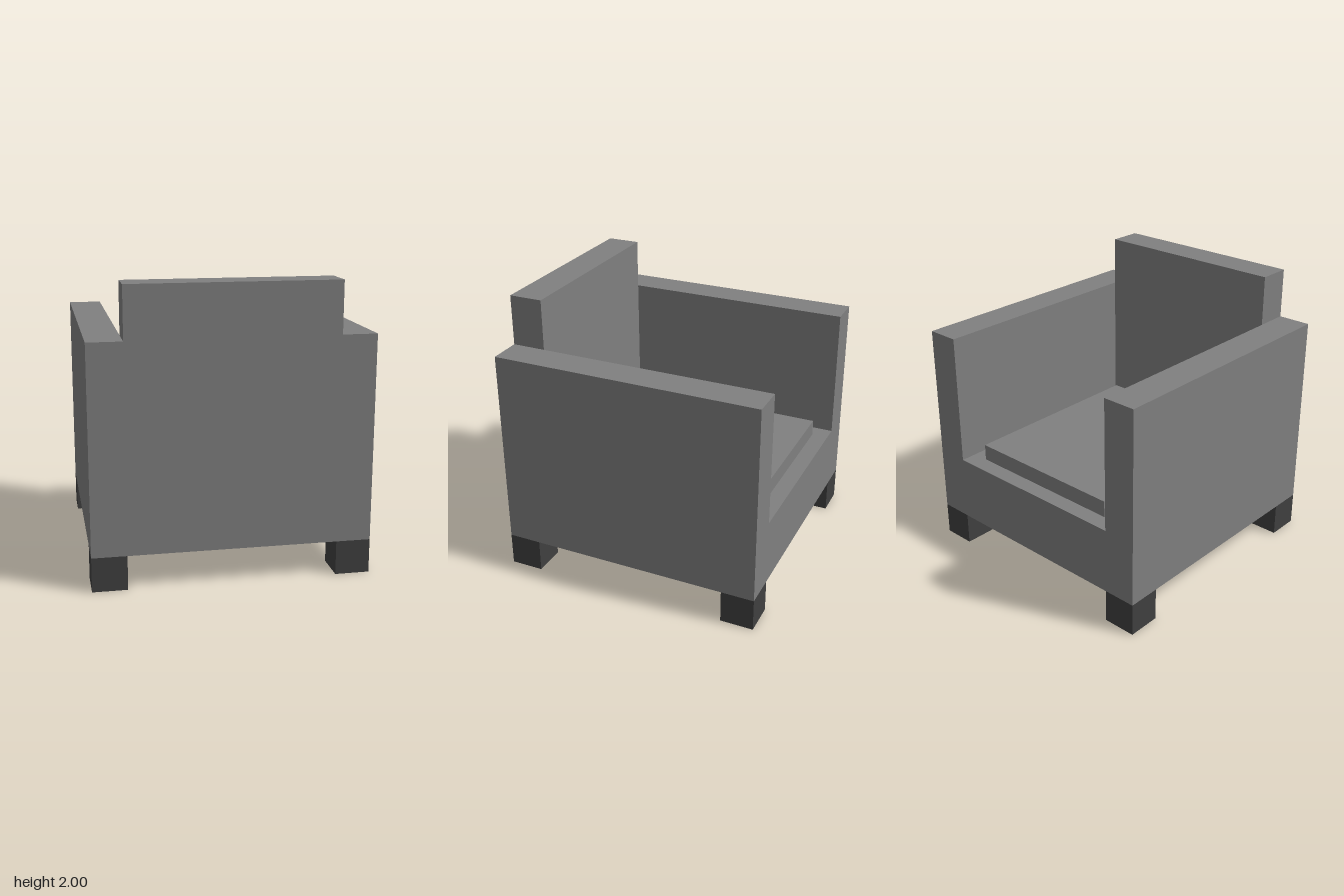
import * as THREE from 'three';

const U = 2 / 17; // the chair is laid out on a 17-unit-high module

export function createModel() {
  const group = new THREE.Group();
  group.name = 'armchair';

  const fabric = new THREE.MeshStandardMaterial({ color: 0x808080 });
  fabric.name = 'grey upholstery';
  const dark = new THREE.MeshStandardMaterial({ color: 0x404040 });
  dark.name = 'dark legs';

  const add = (name, geometry, material) => {
    const mesh = new THREE.Mesh(geometry, material);
    mesh.name = name;
    group.add(mesh);
    return mesh;
  };

  // Box given by its minimum and maximum corners, in module units
  const box = (name, material, [x0, y0, z0], [x1, y1, z1]) => {
    const mesh = add(name, new THREE.BoxGeometry((x1 - x0) * U, (y1 - y0) * U, (z1 - z0) * U), material);
    mesh.position.set((x0 + x1) / 2 * U, (y0 + y1) / 2 * U, (z0 + z1) / 2 * U);
  };

  // Seat base and both armrests: one U-shaped profile running the full depth
  const profile = [[-8, 2], [8, 2], [8, 14], [6, 14], [6, 6], [-6, 6], [-6, 14], [-8, 14]];
  const shape = new THREE.Shape(profile.map(([x, y]) => new THREE.Vector2(x * U, y * U)));
  const body = new THREE.ExtrudeGeometry(shape, { depth: 16 * U, bevelEnabled: false });
  body.translate(0, 0, -8 * U);
  add('seatBaseAndArmrests', body, fabric);

  // Backrest between the arms, on the +z side
  box('backrest', fabric, [-6, 6, 6], [6, 17, 8]);

  // Loose seat cushion
  box('seatCushion', fabric, [-5, 6, -7], [5, 7, 5]);

  // Four square legs flush with the corners
  for (const x of [-7, 7]) {
    for (const z of [-7, 7]) box('leg', dark, [x - 1, 0, z - 1], [x + 1, 2, z + 1]);
  }

  return group;
}
